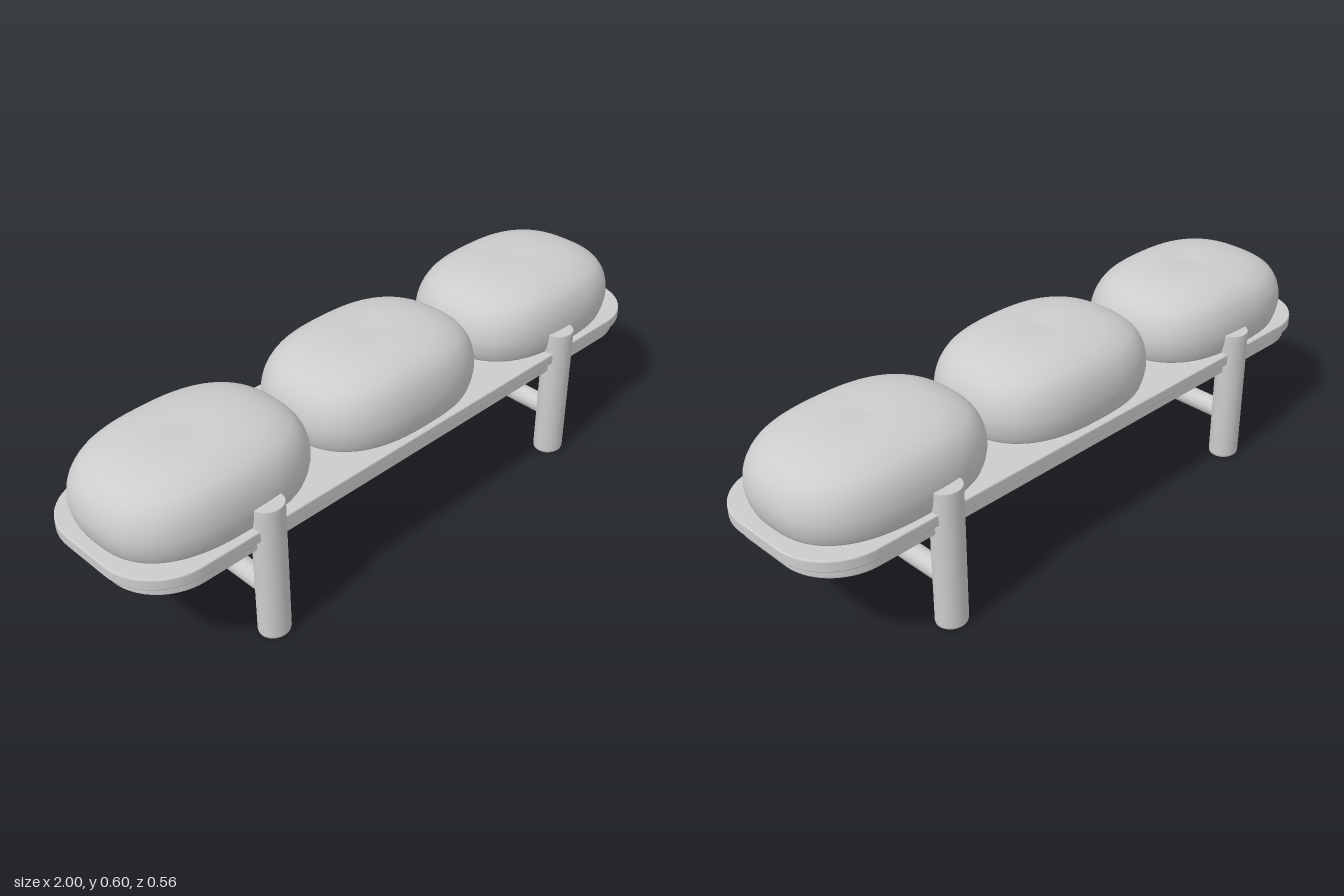
import * as THREE from 'three';

const grey = new THREE.MeshStandardMaterial({ color: 0xcccccc });
grey.name = 'light grey';

function add(parent, geometry, name) {
  const mesh = new THREE.Mesh(geometry, grey);
  mesh.name = name;
  parent.add(mesh);
  return mesh;
}

// Flat board with rounded corners and a small bevel, lying between y0 and y1
function board(hx, hz, r, y0, y1) {
  const b = 0.004, x = hx - b, z = hz - b;
  const s = new THREE.Shape();
  s.moveTo(-x + r, -z);
  s.lineTo(x - r, -z);
  s.absarc(x - r, -z + r, r, -Math.PI / 2, 0);
  s.absarc(x - r, z - r, r, 0, Math.PI / 2);
  s.absarc(-x + r, z - r, r, Math.PI / 2, Math.PI);
  s.absarc(-x + r, -z + r, r, Math.PI, Math.PI * 1.5);
  const g = new THREE.ExtrudeGeometry(s, {
    depth: y1 - y0 - 2 * b, bevelSize: b, bevelThickness: b, bevelSegments: 2, curveSegments: 12,
  });
  return g.rotateX(-Math.PI / 2).translate(0, y0 + b, 0);
}

// Pillow: superellipse rings, scaled up a profile, with a shallow dimple on top
function cushion(hx, hz, height, tiltX, tiltZ) {
  const profile = new THREE.CatmullRomCurve3([
    [0.955, 0], [0.985, 0.027], [1, 0.063], [0.98, 0.105], [0.91, 0.148], [0.79, 0.178],
    [0.63, 0.198], [0.42, 0.209], [0.22, 0.211], [0, 0.207],
  ].map(([s, y]) => new THREE.Vector3(s, y, 0)));
  const rings = 30, sides = 64, pos = [], idx = [];
  for (let i = 0; i <= rings; i++) {
    const p = profile.getPoint(i / rings);
    const e = 2 / (2.2 + 0.4 * p.x);
    for (let j = 0; j < sides; j++) {
      const a = (j / sides) * Math.PI * 2, c = Math.cos(a), s = Math.sin(a);
      const u = p.x * Math.sign(c) * Math.abs(c) ** e;
      const w = p.x * Math.sign(s) * Math.abs(s) ** e;
      const k = p.y / 0.211;
      pos.push(u * hx, p.y * height / 0.211 + k * k * (u * tiltX + w * tiltZ), w * hz);
      if (i < rings) {
        const n = (j + 1) % sides, q = i * sides;
        idx.push(q + j, q + sides + j, q + n, q + n, q + sides + j, q + sides + n);
      }
    }
  }
  // Flat underside
  const centre = pos.length / 3;
  pos.push(0, 0, 0);
  for (let j = 0; j < sides; j++) idx.push(centre, j, (j + 1) % sides);
  const g = new THREE.BufferGeometry();
  g.setAttribute('position', new THREE.Float32BufferAttribute(pos, 3));
  g.setIndex(idx);
  g.computeVertexNormals();
  return g;
}

export function createModel() {
  const bench = new THREE.Group();
  bench.name = 'bench';

  // Two stacked seat boards
  add(bench, board(0.98, 0.243, 0.16, 0.31, 0.342), 'lowerBoard');
  add(bench, board(1, 0.255, 0.17, 0.342, 0.377), 'upperBoard');

  // Three cushions side by side
  [
    ['rightCushion', -0.652, -0.004, 0.211, 0.004, 0.004],
    ['middleCushion', 0, 0.002, 0.22, 0, 0.005],
    ['leftCushion', 0.647, 0, 0.21, -0.004, 0],
  ].forEach(([name, x, z, h, tx, tz]) => {
    add(bench, cushion(0.324, 0.244, h, tx, tz), name).position.set(x, 0.375, z);
  });

  // Legs with a rounded foot and a short cap, joined by a cross bar at each end
  const legProfile = [[0, 0], [0.9, 0], [0.97, 0.003], [1, 0.01], [1, 0.403], [0.985, 0.405],
    [1, 0.407], [1, 0.438], [0.97, 0.44], [0, 0.44]];
  const points = [];
  legProfile.forEach(([r, y], i) => {
    const v = new THREE.Vector2(r * 0.048, y);
    points.push(v);
    // doubled points keep the flat ends crisp
    if (i === 1 || i === 8) points.push(v.clone());
  });
  const legXs = [-0.599, 0.587];
  for (const x of legXs) {
    for (const side of [1, -1]) {
      const leg = add(bench, new THREE.LatheGeometry(points, 32), side > 0 ? 'frontLeg' : 'backLeg');
      leg.scale.z = 0.93;
      leg.position.set(x, 0, side * 0.237);
    }
    const bar = add(bench, new THREE.CylinderGeometry(0.031, 0.031, 0.46, 24), 'crossBar');
    bar.rotation.x = Math.PI / 2;
    bar.position.set(x, 0.146, 0);
  }

  // Long rail between the cross bars
  const rail = add(bench, new THREE.CylinderGeometry(0.031, 0.031, legXs[1] - legXs[0], 24), 'longRail');
  rail.rotation.z = Math.PI / 2;
  rail.position.set((legXs[0] + legXs[1]) / 2, 0.146, 0);

  return bench;
}
